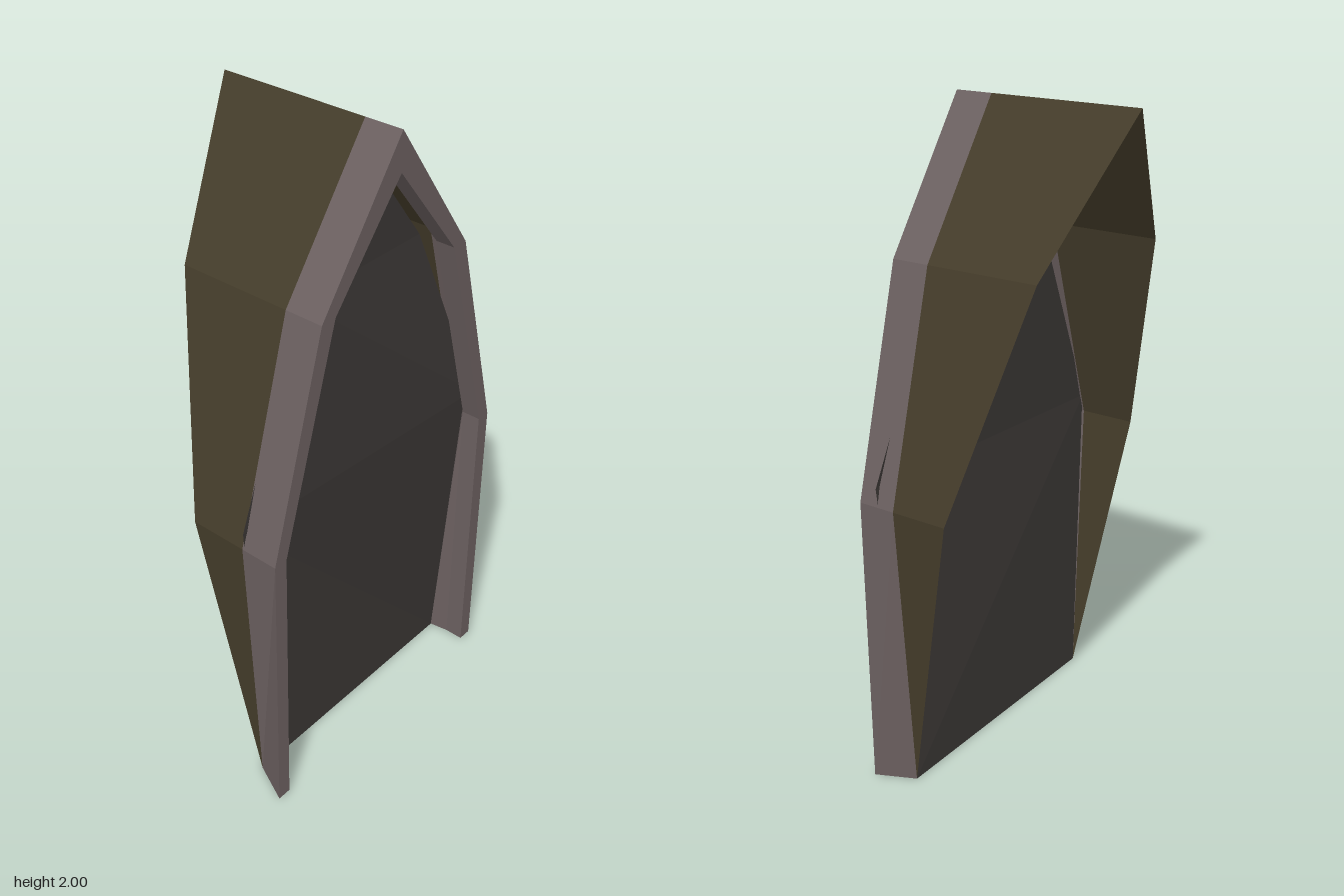
import * as THREE from 'three';

const paint = (color) => new THREE.MeshStandardMaterial({ color, flatShading: true, side: THREE.DoubleSide, roughness: 0.9 });

// Half arch outlines as [z, y], from the foot to the point.
const OUTER = [[0.485, 0], [0.485, 0.915], [0.3, 1.58], [0, 2]];
const INNER = [[0.44, 0], [0.44, 0.915], [0.248, 1.58], [0, 1.885]];
const BACK = [[0.43, 0], [0.485, 0.915], [0.3, 1.58], [0, 2]];
const HOOD_X = [0.18, 0, -0.18, -0.303];

const v = (x, y, z) => new THREE.Vector3(x, y, z);

// Mirrors a half outline into a full arch of 3D points at depth x (number or list).
function arch(half, x) {
  const side = half.map(([z, y], i) => v(Array.isArray(x) ? x[i] : x, y, z));
  const other = side.slice(0, -1).reverse().map((p) => v(p.x, p.y, -p.z));
  return [...side, ...other];
}

// Flat-sided surface through successive rows of points.
function loft(rows) {
  const pos = [];
  const add = (...points) => points.forEach((p) => pos.push(p.x, p.y, p.z));
  for (let r = 0; r < rows.length - 1; r++) {
    const a = rows[r], b = rows[r + 1];
    for (let i = 0; i < a.length - 1; i++) {
      add(a[i], b[i], b[i + 1], a[i], b[i + 1], a[i + 1]);
    }
  }
  const geometry = new THREE.BufferGeometry();
  geometry.setAttribute('position', new THREE.Float32BufferAttribute(pos, 3));
  geometry.computeVertexNormals();
  return geometry;
}

export function createModel() {
  const group = new THREE.Group();
  const hoodPaint = paint(0x443c2a);
  const framePaint = paint(0x6b6060);
  const panePaint = paint(0x3a3634);
  const addPart = (name, geometry, material) => {
    const mesh = new THREE.Mesh(geometry, material);
    mesh.name = name;
    group.add(mesh);
  };

  // Thin hood running back from the frame, open behind
  addPart('hood', loft([arch(BACK, HOOD_X), arch(BACK, 0.18)]), hoodPaint);

  // Arched frame: outer wall, front face and inner reveal
  addPart('frame', loft([
    arch(BACK, 0.18), arch(OUTER, 0.3), arch(INNER, 0.3), arch(INNER, 0.24),
  ]), framePaint);

  for (const s of [1, -1]) {
    // Tapered jamb behind the reveal, down to the foot
    addPart('jamb', loft([
      [v(0.18, 0, 0.43 * s), v(0.18, 0.915, 0.483 * s)],
      [v(0.24, 0, 0.44 * s), v(0.24, 0.915, 0.44 * s)],
    ]), framePaint);
    // Underside of each foot
    addPart('foot', loft([
      [v(0.3, 0, 0.485 * s), v(0.3, 0, 0.44 * s)],
      [v(0.18, 0, 0.43 * s), v(0.24, 0, 0.44 * s)],
    ]), framePaint);
  }

  // Dark, slightly twisted pane whose shoulders pierce the frame
  addPart('pane', loft([
    [v(0.18, 1.91, 0), v(0.18, 1.91, 0)],
    [v(0.18, 1.58, 0.25), v(0.18, 1.58, -0.25)],
    [v(0.185, 0.97, 0.485), v(0.24, 0.97, -0.485)],
    [v(0.18, 0, 0.43), v(0.18, 0, -0.43)],
  ]), panePaint);

  return group;
}
